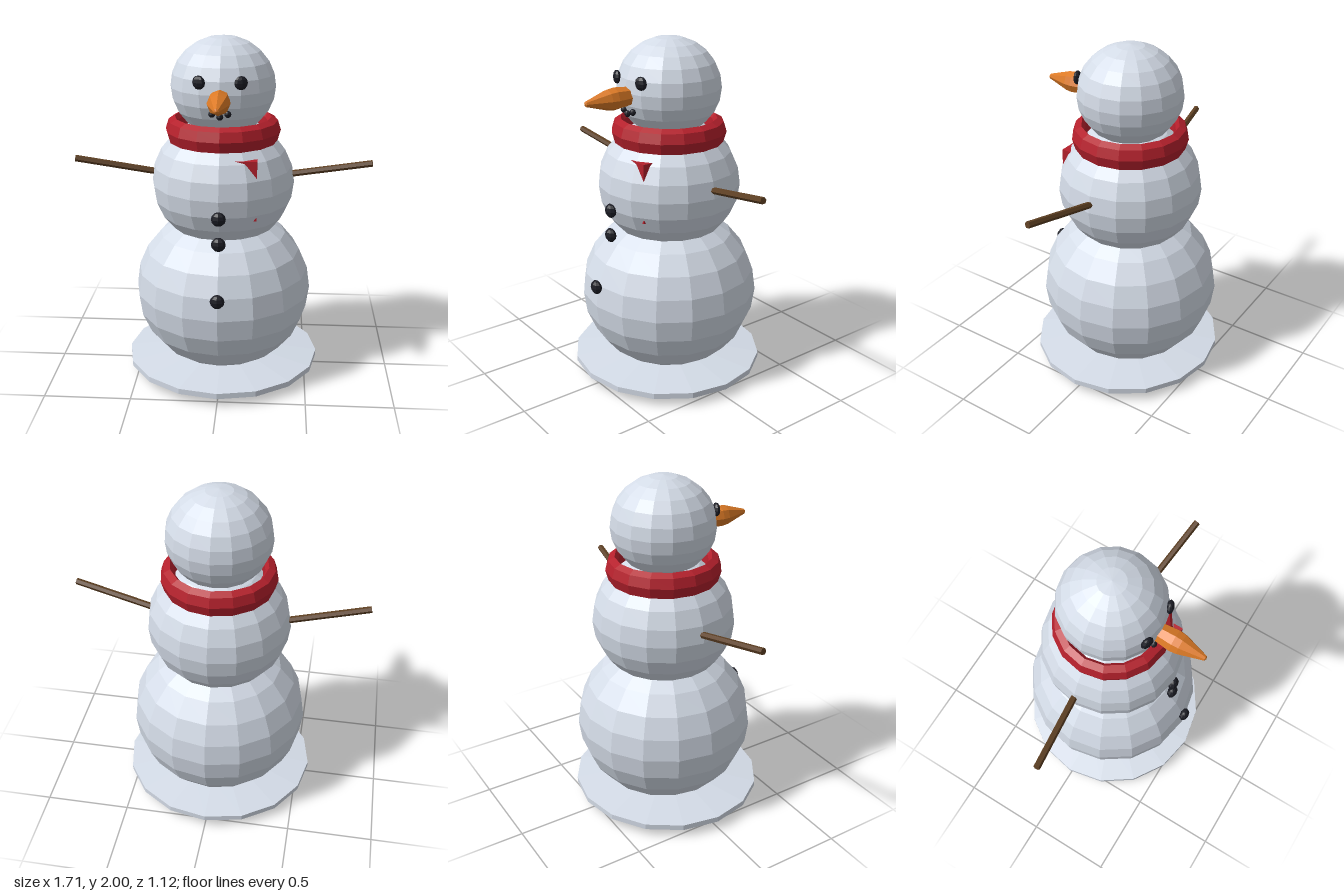
import * as THREE from 'three';

const mat = (name, color) => {
  const m = new THREE.MeshStandardMaterial({ color, flatShading: true });
  m.name = name;
  return m;
};

export function createModel() {
  const group = new THREE.Group();
  const snow = mat('snow', 0xdbe3ef);
  const red = mat('scarf red', 0xb5202c);
  const coal = mat('coal', 0x1b1c24);
  const orange = mat('carrot orange', 0xdc7a26);
  const wood = mat('branch brown', 0x5e4023);

  const add = (name, geometry, material, x = 0, y = 0, z = 0) => {
    const mesh = new THREE.Mesh(geometry, material);
    mesh.name = name;
    mesh.position.set(x, y, z);
    group.add(mesh);
    return mesh;
  };
  const lathe = (points, sides) =>
    new THREE.LatheGeometry(points.map(([r, y]) => new THREE.Vector2(r, y)), sides);
  const ball = (name, r, ry, y) =>
    add(name, new THREE.SphereGeometry(r, 16, 12).scale(1, ry / r, 1), snow, 0, y, -0.02);
  const lump = (name, r, depth, x, y, z) =>
    add(name, new THREE.SphereGeometry(r, 8, 6).scale(1, 1, depth / r), coal, x, y, z);

  // Snow base, thicker towards the middle
  const base = lathe([[0, 0], [0.572, 0.05], [0.572, 0.083], [0.3, 0.115], [0, 0.118]], 16);
  add('base', base, snow, 0, 0, -0.004).scale.z = 0.975;

  // Three squashed snowballs
  ball('lowerBody', 0.52, 0.49, 0.502);
  ball('upperBody', 0.412, 0.38, 1.163);
  ball('head', 0.297, 0.28, 1.72);

  // Scarf ring and its hanging end
  add('scarf', lathe([
    [0.24, 1.41], [0.312, 1.41], [0.329, 1.47], [0.312, 1.525],
    [0.275, 1.545], [0.255, 1.52], [0.24, 1.41],
  ], 16), red, 0, 0, -0.02);
  add('scarfEnd', new THREE.BoxGeometry(0.13, 0.34, 0.06), red, 0.14, 1.2, 0.276);

  // Carrot nose pointing forward
  const carrot = lathe([
    [0, -0.04], [0.05, -0.03], [0.063, 0.09], [0.058, 0.13],
    [0.036, 0.2], [0.028, 0.225], [0.015, 0.268], [0, 0.275],
  ], 8).rotateX(Math.PI / 2);
  add('nose', carrot, orange, 0, 1.7, 0.26).rotation.x = 0.02;

  // Eyes and arms, mirrored
  for (const s of [-1, 1]) {
    lump(s > 0 ? 'leftEye' : 'rightEye', 0.038, 0.022, s * 0.113, 1.787, 0.252).rotation.y = s * 0.35;

    const from = new THREE.Vector3(s * 0.36, 1.203, -0.027);
    const to = new THREE.Vector3(s * 0.852, 1.296, 0.035);
    const dir = to.clone().sub(from);
    const arm = add(s > 0 ? 'leftArm' : 'rightArm',
      new THREE.CylinderGeometry(0.019, 0.019, dir.length(), 6), wood);
    arm.position.copy(from).addScaledVector(dir, 0.5);
    arm.quaternion.setFromUnitVectors(new THREE.Vector3(0, 1, 0), dir.normalize());
  }

  // Mouth pebbles
  for (const x of [-0.043, 0, 0.043])
    lump('mouthPebble', 0.019, 0.016, x, x ? 1.618 : 1.604, x ? 0.258 : 0.264);

  // Buttons
  for (const [y, z] of [[1.066, 0.388], [0.92, 0.392], [0.626, 0.498]])
    lump('button', 0.041, 0.028, 0, y, z);

  return group;
}
